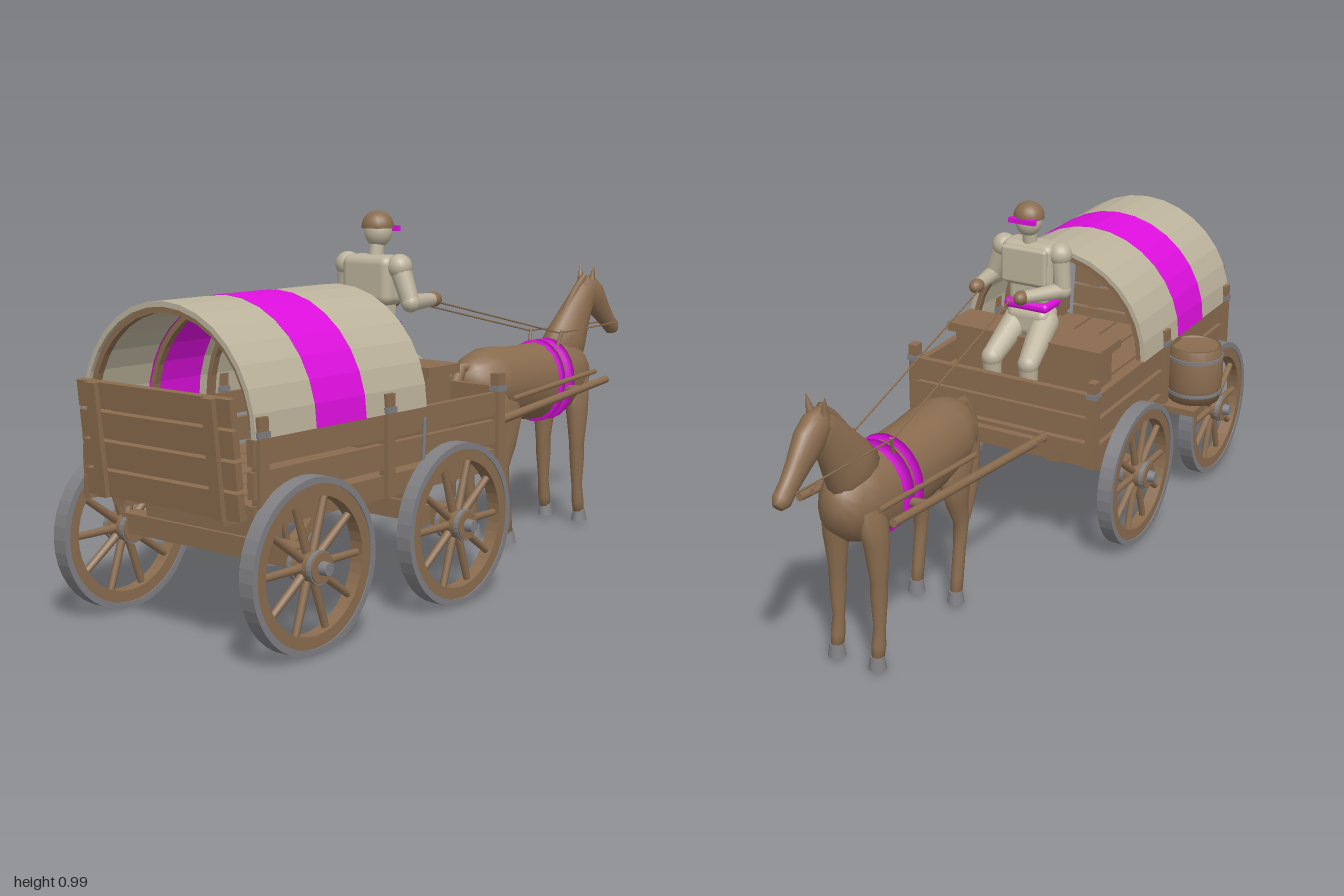
import * as THREE from 'three';
import { RoundedBoxGeometry } from 'three/addons/geometries/RoundedBoxGeometry.js';

const mat = (name, color, side = THREE.FrontSide) => {
  const m = new THREE.MeshStandardMaterial({ color, side });
  m.name = name;
  return m;
};
const wood = mat('brown wood', 0x8a6c4f);
const cloth = mat('cream cloth', 0xbcb39c);
const accent = mat('magenta', 0xdd0fdd);
const metal = mat('grey metal', 0x808084);
const ZC = 0.035; // centre line of wagon and horse

function add(parent, name, geo, material, x = 0, y = 0, z = 0) {
  const m = new THREE.Mesh(geo, material);
  m.name = name;
  m.position.set(x, y, z);
  parent.add(m);
  return m;
}
function group(parent, name, z = 0) {
  const g = new THREE.Group();
  g.name = name;
  g.position.z = z;
  parent.add(g);
  return g;
}
// box given by its limits on each axis
const box = (p, name, x0, x1, y0, y1, z0, z1, m = wood) =>
  add(p, name, new THREE.BoxGeometry(x1 - x0, y1 - y0, z1 - z0), m, (x0 + x1) / 2, (y0 + y1) / 2, (z0 + z1) / 2);
// tapered rod between two points
function rod(p, name, a, b, ra, rb, m = wood, sides = 12) {
  const A = new THREE.Vector3(...a), B = new THREE.Vector3(...b), d = B.clone().sub(A);
  const mesh = add(p, name, new THREE.CylinderGeometry(rb, ra, d.length(), sides), m);
  mesh.position.copy(A).add(B).multiplyScalar(0.5);
  mesh.quaternion.setFromUnitVectors(new THREE.Vector3(0, 1, 0), d.normalize());
  return mesh;
}
const ball = (p, name, x, y, z, r, m) => add(p, name, new THREE.SphereGeometry(r, 16, 12), m, x, y, z);

// flat ring, extruded and centred along z
function ring(ro, ri, depth, seg = 20) {
  const s = new THREE.Shape().absarc(0, 0, ro, 0, Math.PI * 2);
  s.holes.push(new THREE.Path().absarc(0, 0, ri, 0, Math.PI * 2, true));
  return new THREE.ExtrudeGeometry(s, { depth, bevelEnabled: false, curveSegments: seg }).translate(0, 0, -depth / 2);
}
// half ring running along x, from x0 to x1
function arch(p, name, ro, ri, x0, x1, m) {
  const s = new THREE.Shape();
  s.absarc(0, 0, ro, 0, Math.PI);
  s.absarc(0, 0, ri, Math.PI, 0, true);
  const g = new THREE.ExtrudeGeometry(s, { depth: x1 - x0, bevelEnabled: false, curveSegments: 8 }).rotateY(Math.PI / 2);
  return add(p, name, g, m, x0, 0.515, ZC);
}
// smooth skin over ellipses [x, y, radius in the xy plane, radius in z, z offset]
function loft(sections, n = 16) {
  const pos = [], idx = [], L = sections.length;
  sections.forEach(([x, y, rv, rz, z = 0], i) => {
    const a = sections[Math.max(i - 1, 0)], b = sections[Math.min(i + 1, L - 1)];
    const len = Math.hypot(b[0] - a[0], b[1] - a[1]), tx = (b[0] - a[0]) / len, ty = (b[1] - a[1]) / len;
    for (let j = 0; j < n; j++) {
      const c = Math.cos(j / n * Math.PI * 2) * rv, s = Math.sin(j / n * Math.PI * 2) * rz;
      pos.push(x - ty * c, y + tx * c, z + s);
    }
  });
  for (const s of [sections[0], sections[L - 1]]) pos.push(s[0], s[1], s[4] || 0);
  for (let j = 0; j < n; j++) {
    const k = (j + 1) % n, e = (L - 1) * n;
    for (let i = 0; i < L - 1; i++) {
      const a = i * n + j, b = i * n + k;
      idx.push(a, b, b + n, a, b + n, a + n);
    }
    idx.push(L * n, k, j, L * n + 1, e + j, e + k);
  }
  const g = new THREE.BufferGeometry();
  g.setAttribute('position', new THREE.Float32BufferAttribute(pos, 3));
  g.setIndex(idx);
  g.computeVertexNormals();
  return g;
}

function buildWheel(parent, x, side) {
  const w = group(parent, 'wheel', ZC + side * 0.315);
  w.position.x = x;
  w.position.y = 0.208;
  add(w, 'tyre', ring(0.208, 0.192, 0.042), metal);
  add(w, 'rim', ring(0.193, 0.163, 0.036), wood);
  for (let i = 0; i < 10; i++) {
    const a = i / 10 * Math.PI * 2, c = Math.cos(a), s = Math.sin(a);
    rod(w, 'spoke', [c * 0.03, s * 0.03, 0], [c * 0.168, s * 0.168, 0], 0.011, 0.009, wood, 8);
  }
  rod(w, 'hub', [0, 0, -0.04], [0, 0, 0.04], 0.037, 0.037, wood, 18);
  for (const z of [-0.03, 0.03]) add(w, 'hubBand', ring(0.04, 0.03, 0.012, 10), metal, 0, 0, z);
  rod(w, 'axleCap', [0, 0, side * 0.035], [0, 0, side * 0.06], 0.018, 0.015, metal);
}

function buildWagon(root) {
  const w = group(root, 'wagon');
  const zl = 0.33, zr = -0.26;
  // floor and running gear
  for (let i = 0; i < 6; i++) box(w, 'floorPlank', -0.94, -0.02, 0.345, 0.365, zr + 0.023 + i * 0.092, zr + 0.107 + i * 0.092);
  for (const z of [0.2, -0.13]) box(w, 'floorBeam', -0.94, -0.02, 0.305, 0.345, z - 0.02, z + 0.02);
  for (const x of [-0.795, -0.25]) {
    box(w, 'axle', x - 0.025, x + 0.025, 0.2, 0.25, zr, zl);
    box(w, 'bolster', x - 0.03, x + 0.03, 0.255, 0.305, -0.165, 0.235);
    for (const side of [-1, 1]) buildWheel(w, x, side);
  }
  box(w, 'reachPole', -0.795, -0.25, 0.22, 0.25, ZC - 0.017, ZC + 0.017);
  // sides, front and stakes
  for (const [y0, y1] of [[0.31, 0.365], [0.38, 0.442], [0.455, 0.515]]) {
    for (const s of [-1, 1]) {
      const z = ZC + s * 0.277;
      box(w, 'sideBoard', -0.945, -0.015, y0, y1, z - 0.01, z + 0.01);
    }
  }
  for (const [y0, y1] of [[0.345, 0.385], [0.395, 0.46], [0.467, 0.53]]) box(w, 'frontBoard', -0.032, -0.012, y0, y1, zr, zl);
  for (const x of [-0.92, -0.48, -0.028]) for (const s of [-1, 1]) {
    const z = ZC + s * 0.284;
    box(w, 'stake', x - 0.015, x + 0.015, 0.31, 0.565, z - 0.013, z + 0.013);
    box(w, 'stakeBand', x - 0.018, x + 0.018, 0.518, 0.532, z - 0.016, z + 0.016, metal);
  }
  // leaning tailgate
  const tail = group(w, 'tailgate');
  tail.position.set(-0.937, 0.33, 0);
  tail.rotation.z = 0.1;
  for (let i = 0; i < 4; i++) box(tail, 'tailBoard', -0.02, 0, i * 0.072, i * 0.072 + 0.064, -0.22, 0.29);
  for (const z of [-0.16, 0.23]) box(tail, 'tailBatten', -0.033, -0.02, 0, 0.28, z - 0.017, z + 0.017);
  // bench
  box(w, 'benchTop', -0.27, -0.14, 0.575, 0.6, -0.21, 0.28);
  box(w, 'benchBox', -0.255, -0.155, 0.365, 0.575, -0.19, 0.26);
  // canvas cover with hoops
  arch(w, 'rearCover', 0.29, 0.277, -0.94, -0.74, cloth);
  arch(w, 'coverStripe', 0.291, 0.277, -0.74, -0.565, accent);
  arch(w, 'frontCover', 0.29, 0.277, -0.565, -0.335, cloth);
  for (const x of [-0.93, -0.735, -0.54, -0.355]) arch(w, 'hoop', 0.278, 0.262, x, x + 0.018, wood);
  // barrel on its shelf
  box(w, 'barrelShelf', -0.67, -0.46, 0.318, 0.336, -0.36, -0.22);
  const prof = [[0, 0.336], [0.075, 0.336], [0.081, 0.38], [0.083, 0.418], [0.081, 0.46], [0.075, 0.502], [0.068, 0.502], [0.068, 0.495], [0, 0.495]];
  add(w, 'barrel', new THREE.LatheGeometry(prof.map(p => new THREE.Vector2(...p)), 20), wood, -0.565, 0, -0.312);
  for (const y of [0.365, 0.47]) add(w, 'barrelHoop', new THREE.CylinderGeometry(0.0825, 0.0825, 0.01, 20), metal, -0.565, y, -0.312);
  // brake lever
  rod(w, 'brakeLever', [-0.355, 0.26, 0.325], [-0.355, 0.49, 0.335], 0.005, 0.005, metal, 8);
  box(w, 'brakeBlock', -0.372, -0.338, 0.22, 0.27, 0.31, 0.34);
  // shafts
  box(w, 'shaftCrossbar', 0.02, 0.042, 0.365, 0.39, -0.12, 0.19);
  for (const z of [-0.105, 0.17]) rod(w, 'shaft', [-0.04, 0.372, z], [0.735, 0.45, z], 0.013, 0.011);
}

function buildHorse(root) {
  const h = group(root, 'horse', ZC);
  add(h, 'body', loft([[0.19, 0.49, 0.025, 0.025], [0.205, 0.49, 0.06, 0.05], [0.24, 0.48, 0.09, 0.08], [0.3, 0.472, 0.108, 0.098],
    [0.4, 0.464, 0.107, 0.099], [0.52, 0.456, 0.115, 0.098], [0.62, 0.454, 0.118, 0.094], [0.7, 0.465, 0.11, 0.084],
    [0.75, 0.485, 0.085, 0.064], [0.78, 0.5, 0.04, 0.03]]), wood);
  add(h, 'neck', loft([[0.67, 0.5, 0.09, 0.06], [0.72, 0.57, 0.078, 0.052], [0.765, 0.635, 0.06, 0.041],
    [0.81, 0.69, 0.047, 0.033], [0.84, 0.725, 0.032, 0.026]]), wood);
  add(h, 'head', loft([[0.805, 0.738, 0.022, 0.02], [0.83, 0.715, 0.044, 0.033], [0.865, 0.685, 0.048, 0.034],
    [0.91, 0.64, 0.036, 0.026], [0.95, 0.603, 0.028, 0.022], [0.977, 0.58, 0.026, 0.023], [0.992, 0.57, 0.013, 0.014]]), wood);
  add(h, 'mane', loft([[0.65, 0.577, 0.01, 0.01], [0.71, 0.648, 0.014, 0.009], [0.765, 0.71, 0.014, 0.009], [0.815, 0.755, 0.01, 0.009]], 8), wood);
  add(h, 'tail', loft([[0.235, 0.53, 0.015, 0.014], [0.185, 0.53, 0.017, 0.016], [0.15, 0.47, 0.022, 0.02],
    [0.135, 0.37, 0.025, 0.022], [0.138, 0.27, 0.021, 0.018], [0.157, 0.165, 0.004, 0.004]], 12), wood);
  for (const s of [-1, 1]) {
    rod(h, 'ear', [0.825, 0.74, s * 0.02], [0.83, 0.785, s * 0.026], 0.011, 0.001, wood, 8);
    add(h, 'frontLeg', loft([[0.7, 0.46, 0.055, 0.03, s * 0.05], [0.692, 0.36, 0.04, 0.032, s * 0.06], [0.69, 0.25, 0.024, 0.022, s * 0.062],
      [0.692, 0.21, 0.024, 0.022, s * 0.062], [0.694, 0.12, 0.016, 0.016, s * 0.062], [0.7, 0.07, 0.02, 0.018, s * 0.062], [0.705, 0.04, 0.018, 0.016, s * 0.062]], 12), wood);
    add(h, 'hindLeg', loft([[0.29, 0.47, 0.075, 0.04, s * 0.05], [0.325, 0.37, 0.06, 0.036, s * 0.06], [0.318, 0.3, 0.036, 0.027, s * 0.062],
      [0.3, 0.24, 0.023, 0.021, s * 0.062], [0.308, 0.17, 0.018, 0.017, s * 0.062], [0.322, 0.08, 0.018, 0.017, s * 0.062], [0.328, 0.04, 0.018, 0.016, s * 0.062]], 12), wood);
    for (const x of [0.708, 0.332]) rod(h, 'hoof', [x, 0.008, s * 0.062], [x, 0.043, s * 0.062], 0.024, 0.018, metal);
    // harness traces, reins and bridle
    rod(h, 'trace', [0.295, 0.44, s * 0.104], [0.73, 0.472, s * 0.098], 0.008, 0.008, wood, 8);
    rod(h, 'shaftLoop', [0.59, 0.432, s * 0.09], [0.59, 0.436, s * 0.14], 0.012, 0.012);
    const hand = s > 0 ? [-0.06, 0.745, 0.095] : [-0.06, 0.742, -0.01];
    rod(h, 'longRein', hand, [0.6, 0.597, s * 0.055], 0.0025, 0.0025, wood, 6);
    rod(h, 'headRein', [0.6, 0.597, s * 0.055], [0.955, 0.596, s * 0.025], 0.0025, 0.0025, wood, 6);
    rod(h, 'reinGuide', [0.59, 0.545, s * 0.05], [0.61, 0.603, s * 0.056], 0.005, 0.005, wood, 8);
  }
  for (const [a, b] of [[0.54, 0.565], [0.582, 0.615]])
    add(h, 'girthStrap', loft([[a, 0.455, 0.122, 0.103], [b, 0.454, 0.123, 0.101]], 24), accent);
}

function buildDriver(root) {
  const d = group(root, 'driver', ZC);
  add(d, 'pelvis', new RoundedBoxGeometry(0.09, 0.085, 0.13, 3, 0.025), cloth, -0.2, 0.638, 0);
  add(d, 'belt', new RoundedBoxGeometry(0.092, 0.027, 0.138, 3, 0.012), accent, -0.2, 0.688, 0);
  add(d, 'waist', new RoundedBoxGeometry(0.075, 0.08, 0.12, 3, 0.02), cloth, -0.2, 0.73, 0);
  add(d, 'chest', new RoundedBoxGeometry(0.085, 0.13, 0.16, 3, 0.024), cloth, -0.195, 0.807, 0);
  add(d, 'chestPlate', new RoundedBoxGeometry(0.02, 0.105, 0.14, 3, 0.009), cloth, -0.152, 0.808, 0);
  rod(d, 'neck', [-0.185, 0.86, 0], [-0.178, 0.91, 0], 0.021, 0.019, cloth);
  ball(d, 'head', -0.175, 0.93, 0, 0.037, cloth).scale.y = 1.1;
  const cap = add(d, 'cap', new THREE.SphereGeometry(0.043, 18, 8, 0, Math.PI * 2, 0, Math.PI / 2), wood, -0.177, 0.945, 0);
  cap.scale.y = 0.95;
  rod(d, 'capBase', [-0.177, 0.94, 0], [-0.177, 0.947, 0], 0.043, 0.043, wood, 18);
  box(d, 'visor', -0.148, -0.132, 0.932, 0.946, -0.04, 0.04, accent);
  for (const s of [-1, 1]) {
    // arms
    const sh = [-0.195, 0.843, s * 0.088];
    const el = s > 0 ? [-0.195, 0.752, 0.125] : [-0.19, 0.742, -0.1];
    const ha = s > 0 ? [-0.08, 0.752, 0.11] : [-0.08, 0.742, -0.03];
    ball(d, 'shoulder', ...sh, 0.034, cloth);
    rod(d, 'upperArm', sh, el, 0.029, 0.024, cloth);
    ball(d, 'elbow', ...el, 0.025, cloth);
    rod(d, 'forearm', el, ha, 0.023, 0.017, cloth);
    ball(d, 'hand', ...ha, 0.02, wood).scale.x = 1.3;
    // legs
    const hip = [-0.195, 0.635, s * 0.042], knee = [-0.072, 0.555, s * 0.058], foot = [-0.08, 0.39, s * 0.058];
    ball(d, 'hip', ...hip, 0.04, cloth);
    rod(d, 'thigh', hip, knee, 0.04, 0.03, cloth);
    ball(d, 'knee', ...knee, 0.03, cloth);
    rod(d, 'shin', knee, foot, 0.028, 0.02, cloth);
    add(d, 'boot', new RoundedBoxGeometry(0.075, 0.035, 0.045, 2, 0.012), wood, -0.073, 0.383, s * 0.058);
  }
}

export function createModel() {
  const root = new THREE.Group();
  root.name = 'horseAndWagon';
  buildWagon(root);
  buildHorse(root);
  buildDriver(root);
  return root;
}
